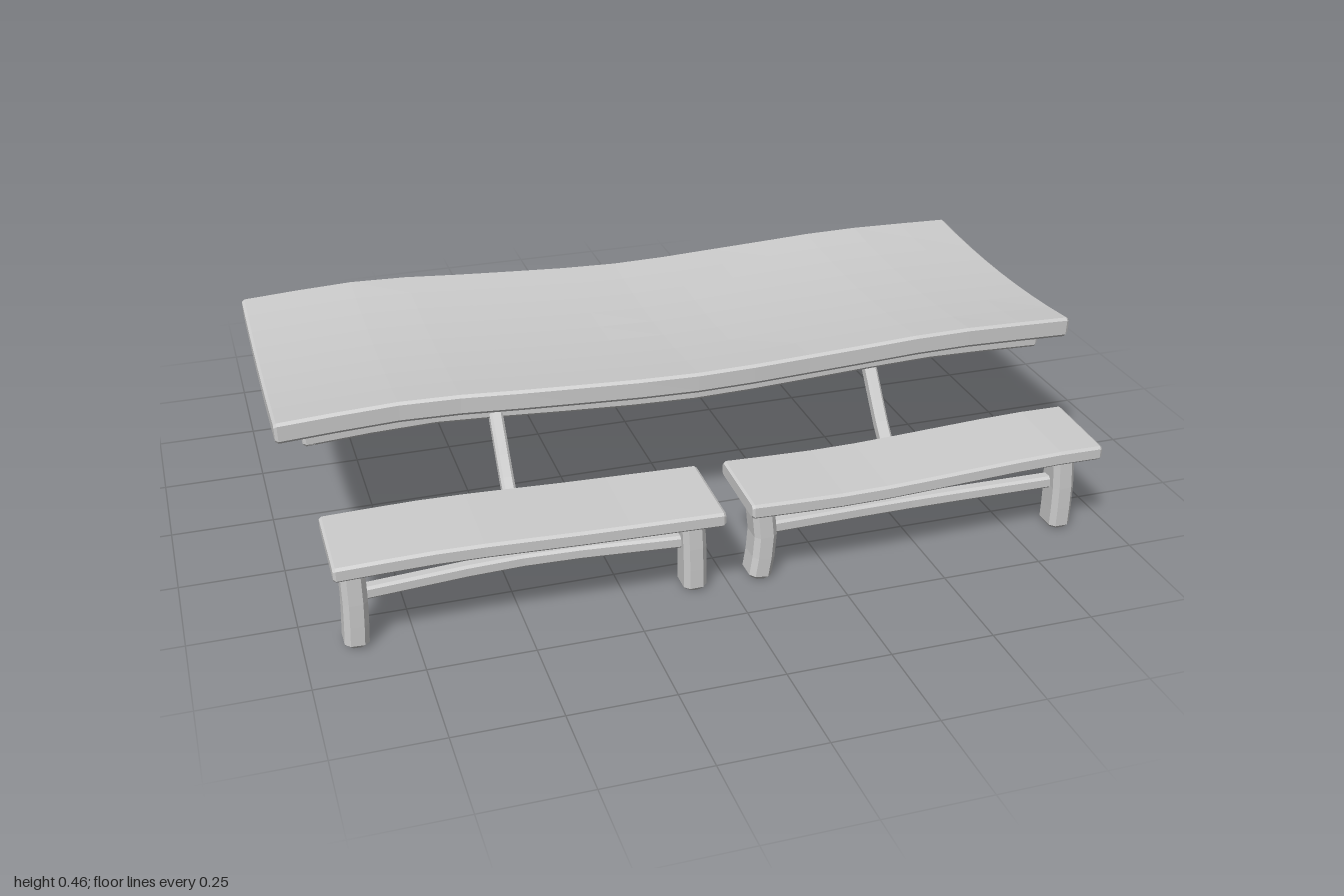
import * as THREE from 'three';

const X = new THREE.Vector3(1, 0, 0), Z = new THREE.Vector3(0, 0, 1);
const material = new THREE.MeshStandardMaterial({
  color: 0xcccccc, flatShading: true, side: THREE.DoubleSide,
});

// Hewn timber: a chamfered rectangle swept along a curve through the points.
// w and h are half sizes along the side axis and across it.
function timber(name, points, { side = Z, w, h, chamfer = 0.006, steps = 8, across = 1, warp }) {
  const curve = new THREE.CatmullRomCurve3(points.map(p => new THREE.Vector3(...p)));
  const ringAt = (inset) => {
    const a = w - inset, b = h - inset, c = chamfer, ring = [];
    for (let i = 0; i <= across; i++) ring.push([(a - c) * (2 * i / across - 1), b]);
    ring.push([a, b - c], [a, c - b]);
    for (let i = across; i >= 0; i--) ring.push([(a - c) * (2 * i / across - 1), -b]);
    ring.push([-a, c - b], [-a, b - c]);
    return ring;
  };
  const position = [], index = [];
  const put = (centre, up, u, v) => {
    const p = centre.clone().addScaledVector(side, u).addScaledVector(up, v);
    if (warp) warp(p, centre);
    position.push(p.x, p.y, p.z);
  };

  // Both ends get a slightly smaller extra section for the worn end edges
  const edge = Math.min(chamfer / curve.getLength(), 0.04);
  const ts = [0, edge];
  for (let i = 1; i < steps; i++) ts.push(i / steps);
  ts.push(1 - edge, 1);
  const n = ringAt(0).length;
  let first, last;
  ts.forEach((t, i) => {
    const isEnd = i === 0 || i === ts.length - 1;
    const centre = curve.getPointAt(t);
    const up = side.clone().cross(curve.getTangentAt(t)).normalize();
    if (i === 0) first = [centre, up];
    last = [centre, up];
    for (const [u, v] of ringAt(isEnd ? chamfer * 0.6 : 0)) put(centre, up, u, v);
  });
  for (let i = 0; i < ts.length - 1; i++) {
    for (let j = 0; j < n; j++) {
      const k = (j + 1) % n, a = i * n, b = a + n;
      index.push(a + j, a + k, b + k, a + j, b + k, b + j);
    }
  }
  const end = (ts.length - 1) * n, c0 = ts.length * n;
  put(...first, 0, 0);
  put(...last, 0, 0);
  for (let j = 0; j < n; j++) {
    const k = (j + 1) % n;
    index.push(c0, k, j, c0 + 1, end + j, end + k);
  }
  const geometry = new THREE.BufferGeometry();
  geometry.setAttribute('position', new THREE.Float32BufferAttribute(position, 3));
  geometry.setIndex(index);
  geometry.computeVertexNormals();
  const mesh = new THREE.Mesh(geometry, material);
  mesh.name = name;
  return mesh;
}

// Centre line of the wavy tabletop: x, y, z
const topLine = [
  [-0.997, 0.402, -0.01], [-0.68, 0.411, -0.02], [-0.35, 0.402, 0], [0, 0.395, 0.017],
  [0.35, 0.403, 0.011], [0.65, 0.414, 0.01], [0.997, 0.402, 0],
];

// Tabletop that dips in the middle, with a frame of rails beneath
function createTable() {
  const table = new THREE.Group();
  table.name = 'table';
  const dip = (p) => { p.y += 0.02 * (p.z / 0.37) ** 2; };
  table.add(timber('tabletop', topLine,
    { w: 0.368, h: 0.026, chamfer: 0.007, steps: 14, across: 8, warp: dip }));
  for (const s of [1, -1]) {
    const rail = topLine.map(([x, y, z]) => [x * 0.935, y - 0.037, z + s * 0.315]);
    table.add(timber('longRail', rail, { w: 0.018, h: 0.02, steps: 12, warp: dip }));
    const endRail = [[s * 0.915, 0.365, -0.32], [s * 0.915, 0.365, 0], [s * 0.915, 0.365, 0.32]];
    table.add(timber('endRail', endRail, { side: X, w: 0.018, h: 0.02, warp: dip }));
  }
  return table;
}

// seat: centre line, legs: x at foot, middle and top
function createBench(name, side, seat, w, legs, rung) {
  const bench = new THREE.Group();
  bench.name = name;
  // Seat leans up slightly towards the table
  const lean = (p, c) => { p.y -= side * 0.04 * (p.z - c.z); };
  bench.add(timber('seat', seat, { w, h: 0.018, across: 2, steps: 8, warp: lean }));
  for (const [foot, middle, top] of legs) {
    const path = [[foot, 0, side * 0.596], [middle, 0.11, side * 0.596], [top, 0.23, side * 0.592]];
    bench.add(timber('leg', path, { w: 0.036, h: 0.028, chamfer: 0.012, steps: 4 }));
  }
  bench.add(timber('stretcher', rung, { w: 0.016, h: 0.016, steps: 6 }));
  return bench;
}

export function createModel() {
  const model = new THREE.Group();
  model.name = 'picnicTable';
  model.add(createTable());

  const rightLegs = [[-0.882, -0.878, -0.88], [-0.084, -0.086, -0.092]];
  const leftLegs = [[0.078, 0.09, 0.076], [0.876, 0.876, 0.868]];
  const rightY = [0.242, 0.245, 0.236, 0.232], leftY = [0.236, 0.229, 0.247, 0.245];
  const rightX = [-0.928, -0.68, -0.35, -0.04], leftX = [0.025, 0.3, 0.78, 0.924];
  const seatLine = (xs, ys, zs) => xs.map((x, i) => [x, ys[i], zs[i]]);
  const rung = (x0, x1, z, bow, sag) => [
    [x0, 0.122, z], [(x0 + x1) / 2, 0.122 + sag, z + bow], [x1, 0.122, z]];

  model.add(
    createBench('frontRightBench', 1, seatLine(rightX, rightY, [0.584, 0.582, 0.586, 0.594]),
      0.112, rightLegs, rung(-0.88, -0.09, 0.59, -0.02, 0.006)),
    createBench('frontLeftBench', 1, seatLine(leftX, leftY, [0.594, 0.593, 0.593, 0.591]),
      0.107, leftLegs, rung(0.09, 0.87, 0.59, -0.015, -0.006)),
    createBench('backRightBench', -1, seatLine(rightX, rightY, [-0.597, -0.6, -0.594, -0.582]),
      0.108, rightLegs, rung(-0.88, -0.09, -0.59, 0.01, -0.006)),
    createBench('backLeftBench', -1, seatLine(leftX, leftY, [-0.588, -0.589, -0.588, -0.587]),
      0.111, leftLegs, rung(0.09, 0.87, -0.59, 0.015, 0.006)));

  // Crooked braces from the table frame down to each bench stretcher
  const bends = { 1: [[0.43, 0.225], [0.47, 0.19]], '-1': [[0.39, 0.285], [0.47, 0.19]] };
  for (const x of [-0.482, 0.47]) {
    for (const s of [1, -1]) {
      const path = [[0.31, 0.378], ...bends[s], [0.572, 0.115]];
      model.add(timber('brace', path.map(([z, y]) => [x, y, s * z]),
        { side: X, w: 0.016, h: 0.016, steps: 7 }));
    }
  }
  return model;
}
